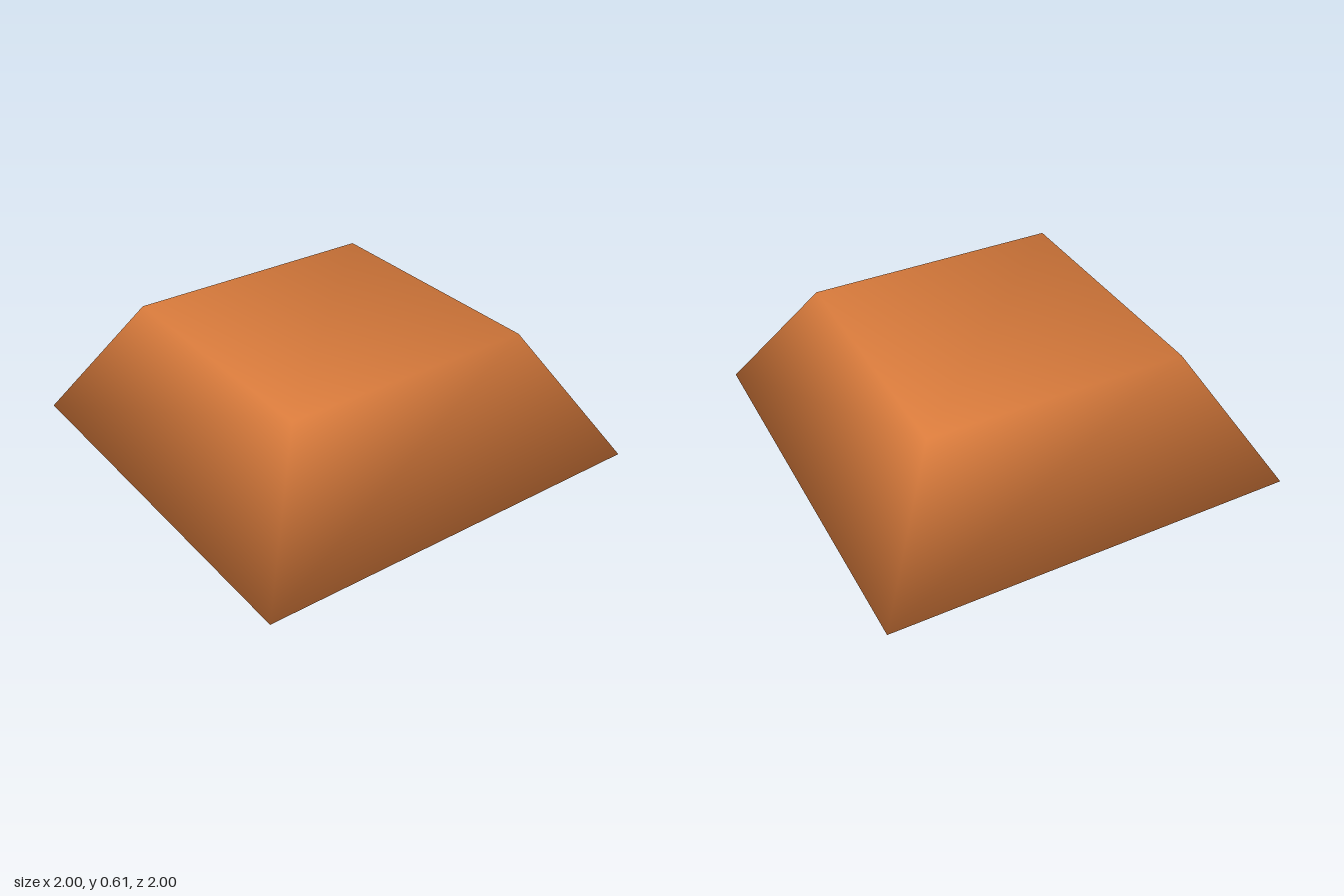
import * as THREE from 'three';

const HEIGHT = 0.61;
const TOP_HALF = 0.63; // half width of the top; the base is 1

export function createModel() {
  const group = new THREE.Group();
  group.name = 'frustumBlock';

  // Square block, tapered towards the top, with soft normals shared at each corner
  const geometry = new THREE.BoxGeometry(2, HEIGHT, 2);
  geometry.translate(0, HEIGHT / 2, 0);
  const position = geometry.attributes.position;
  const normal = geometry.attributes.normal;
  const n = new THREE.Vector3();
  for (let i = 0; i < position.count; i++) {
    const sx = Math.sign(position.getX(i));
    const sz = Math.sign(position.getZ(i));
    const isTop = position.getY(i) > HEIGHT / 2;
    const half = isTop ? TOP_HALF : 1;
    position.setX(i, sx * half);
    position.setZ(i, sz * half);
    if (isTop) n.set(0.47 * sx, 1, 0.47 * sz);
    else n.set(sx, -0.98, sz);
    n.normalize();
    normal.setXYZ(i, n.x, n.y, n.z);
  }

  const block = new THREE.Mesh(geometry, new THREE.MeshStandardMaterial({ color: 0xd97b3c }));
  block.name = 'taperedBlock';
  group.add(block);
  return group;
}
